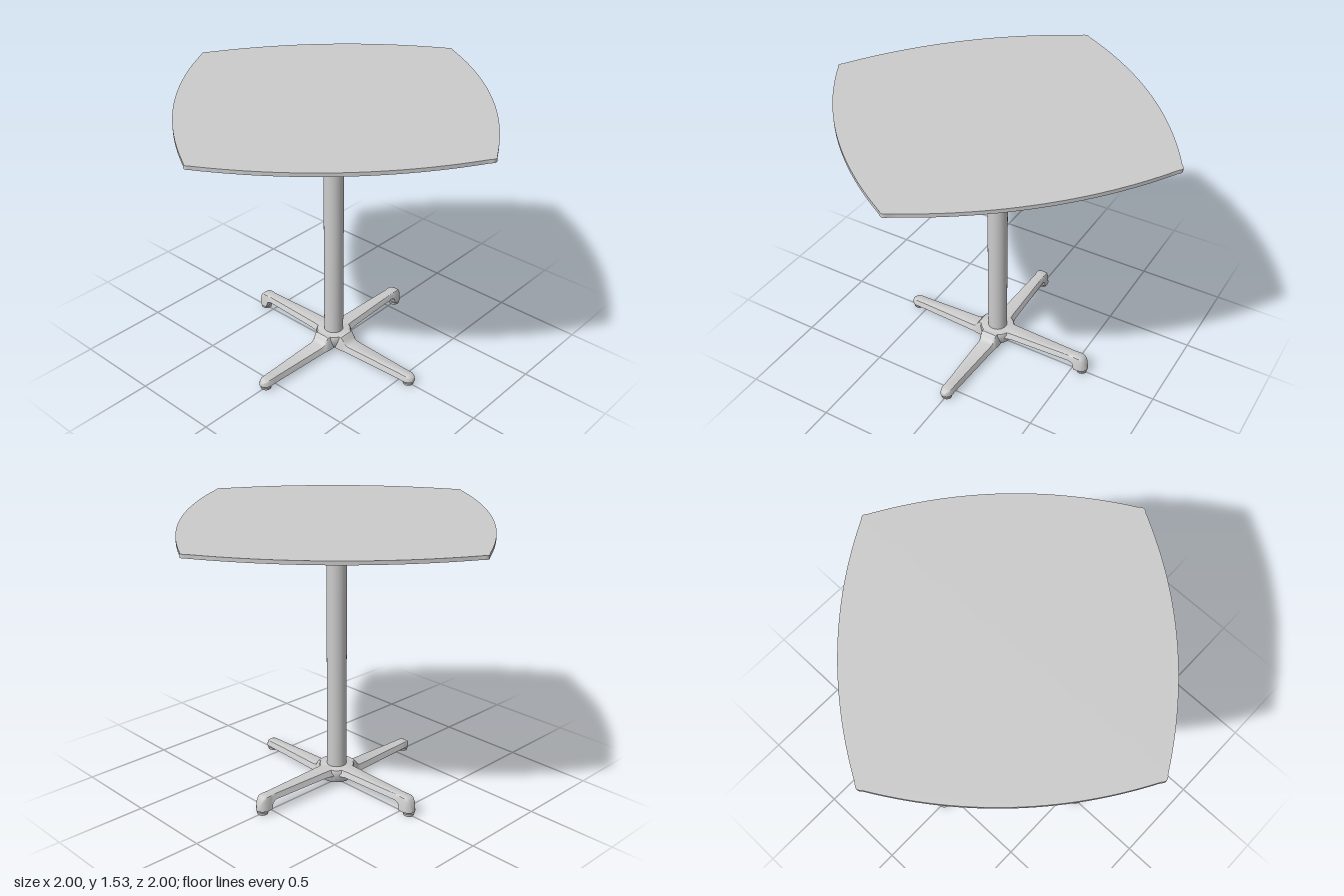
import * as THREE from 'three';
import { toCreasedNormals } from 'three/addons/utils/BufferGeometryUtils.js';

const material = new THREE.MeshStandardMaterial({ color: 0xcccccc });

function add(parent, name, geometry, x = 0, y = 0, z = 0) {
  const mesh = new THREE.Mesh(geometry, material);
  mesh.name = name;
  mesh.position.set(x, y, z);
  parent.add(mesh);
  return mesh;
}

// Tapered arm along +x with an open channel below.
// Each station: [distance, bottom, top, half width, hollow (1) or solid (0)]
function channelArm(stations, wall, flare) {
  const pos = [], index = [], n = 10;
  for (const [x, b, t, w, hollow] of stations) {
    const h = t - b, wt = w / flare, e = Math.min(0.012, h * 0.35), c = Math.min(wall, w * 0.4);
    const ceil = hollow ? t - Math.min(wall, h * 0.45) : b;
    const section = [
      [-w, b], [-wt, t - e], [-wt + e * 0.3, t - e * 0.3], [-wt * 0.65, t], [wt * 0.65, t],
      [wt - e * 0.3, t - e * 0.3], [wt, t - e], [w, b], [w - c, b], [wt - c, ceil],
      [-wt + c, ceil], [-w + c, b],
    ];
    for (const [z, y] of section) pos.push(x, y, z);
  }
  const m = n + 2;
  for (let i = 0; i < stations.length - 1; i++) {
    for (let j = 0; j < m; j++) {
      const a = i * m + j, b = i * m + (j + 1) % m;
      index.push(a, b, a + m, b, b + m, a + m);
    }
  }
  const last = (stations.length - 1) * m;
  for (let j = 1; j < m - 1; j++) index.push(last, last + j, last + j + 1);
  const g = new THREE.BufferGeometry();
  g.setAttribute('position', new THREE.Float32BufferAttribute(pos, 3));
  g.setIndex(index);
  return toCreasedNormals(g, 0.7);
}

// Four-cornered top with bowed edges and small rounded corners
function tabletopGeometry() {
  const shape = new THREE.Shape();
  const turn = (x, y, k) => {
    const a = k * Math.PI / 2, c = Math.cos(a), s = Math.sin(a);
    return [x * c - y * s, x * s + y * c];
  };
  shape.moveTo(0.986, 0.024);
  for (let k = 0; k < 4; k++) {
    shape.quadraticCurveTo(...turn(0.644, 0.644, k), ...turn(0.024, 0.986, k));
    shape.quadraticCurveTo(...turn(0, 1.012, k), ...turn(-0.024, 0.986, k));
  }
  const g = new THREE.ExtrudeGeometry(shape, { depth: 0.02, bevelEnabled: false, curveSegments: 28 });
  g.rotateX(-Math.PI / 2);
  return toCreasedNormals(g, 0.5);
}

function extrudeAcross(points, thickness, holes = []) {
  const shape = new THREE.Shape(points.map(p => new THREE.Vector2(...p)));
  for (const [x, y, r] of holes) shape.holes.push(new THREE.Path().absarc(x, y, r, 0, Math.PI * 2, true));
  const g = new THREE.ExtrudeGeometry(shape, { depth: thickness, bevelEnabled: false, curveSegments: 12 });
  return g.translate(0, 0, -thickness / 2);
}

export function createModel() {
  const model = new THREE.Group();
  model.name = 'pedestalTable';

  add(model, 'tabletop', tabletopGeometry(), 0, 1.515, 0);
  add(model, 'column', new THREE.CylinderGeometry(0.055, 0.055, 1.3, 48), 0, 0.74, 0);

  // Base hub
  const hub = [[0, 0.025], [0.086, 0.025], [0.09, 0.03], [0.1, 0.09], [0.095, 0.102], [0.08, 0.107], [0, 0.107]];
  add(model, 'hub', toCreasedNormals(new THREE.LatheGeometry(hub.map(p => new THREE.Vector2(...p)), 48), 0.7));
  for (let i = 0; i < 3; i++) {
    const a = i * Math.PI * 2 / 3;
    add(model, 'hubScrew', new THREE.CylinderGeometry(0.011, 0.011, 0.006, 16), 0.05 * Math.cos(a), 0.023, 0.05 * Math.sin(a));
  }

  // Two low legs and two raised legs, so that bases can nest
  const low = channelArm([
    [0.04, 0.025, 0.107, 0.062, 1], [0.1, 0.025, 0.106, 0.06, 1], [0.115, 0.025, 0.088, 0.058, 1],
    [0.125, 0.025, 0.07, 0.056, 1], [0.145, 0.025, 0.061, 0.054, 1], [0.5, 0.025, 0.06, 0.038, 1],
    [0.52, 0.025, 0.06, 0.038, 0], [0.56, 0.025, 0.06, 0.037, 0], [0.578, 0.025, 0.056, 0.03, 0],
    [0.59, 0.025, 0.048, 0.018, 0], [0.595, 0.026, 0.04, 0.007, 0],
  ], 0.011, 1.2);
  const high = channelArm([
    [0.04, 0.06, 0.107, 0.062, 1], [0.1, 0.07, 0.107, 0.056, 1], [0.12, 0.074, 0.107, 0.054, 1],
    [0.485, 0.074, 0.107, 0.038, 1], [0.498, 0.071, 0.107, 0.038, 0], [0.512, 0.06, 0.107, 0.038, 0],
    [0.522, 0.026, 0.107, 0.041, 0], [0.55, 0.025, 0.106, 0.041, 0], [0.565, 0.025, 0.1, 0.037, 0],
    [0.578, 0.025, 0.086, 0.03, 0], [0.588, 0.025, 0.055, 0.018, 0], [0.592, 0.025, 0.04, 0.01, 0],
  ], 0.011, 1.25);
  const legs = [['raisedLegLeft', high, 0], ['raisedLegBack', high, 1], ['lowLegRight', low, 2], ['lowLegFront', low, 3]];
  for (const [name, geometry, quarter] of legs) {
    const leg = new THREE.Group();
    leg.name = name;
    leg.rotation.y = quarter * Math.PI / 2;
    add(leg, 'legArm', geometry);
    const ribY = geometry === high ? 0.088 : 0.042;
    add(leg, 'legRib', new THREE.BoxGeometry(0.4, 0.024, 0.008), 0.29, ribY, 0);
    add(leg, 'footPad', new THREE.CylinderGeometry(0.033, 0.029, 0.016, 28), 0.557, 0.008, 0);
    add(leg, 'footStem', new THREE.CylinderGeometry(0.024, 0.024, 0.016, 24), 0.557, 0.02, 0);
    model.add(leg);
  }

  // Spider under the top
  const arm = channelArm([
    [0.03, 1.486, 1.515, 0.04, 1], [0.1, 1.488, 1.515, 0.036, 1], [0.425, 1.497, 1.515, 0.024, 1],
    [0.435, 1.497, 1.515, 0.024, 0], [0.455, 1.498, 1.515, 0.02, 0], [0.468, 1.499, 1.515, 0.012, 0],
    [0.473, 1.5, 1.515, 0.005, 0],
  ], 0.009, 1.1);
  for (let q = 0; q < 4; q++) {
    const support = new THREE.Group();
    support.name = 'topSupport';
    support.rotation.y = q * Math.PI / 2;
    add(support, 'supportArm', arm);
    add(support, 'supportScrew', new THREE.CylinderGeometry(0.01, 0.01, 0.006, 16), 0.446, 1.496, 0);
    add(support, 'supportScrew', new THREE.CylinderGeometry(0.01, 0.01, 0.016, 16), 0.15, 1.499, 0);
    model.add(support);
  }

  // Tilting bracket, set diagonally to the arms
  const bracket = new THREE.Group();
  bracket.name = 'tiltBracket';
  bracket.rotation.y = Math.PI / 4;
  add(bracket, 'mountPlate', new THREE.BoxGeometry(0.15, 0.022, 0.14), 0, 1.503, 0);
  add(bracket, 'collar', new THREE.BoxGeometry(0.145, 0.028, 0.145), 0, 1.399, 0);
  const cheek = extrudeAcross(
    [[-0.072, 1.388], [0.072, 1.388], [0.082, 1.41], [0.082, 1.482], [0.03, 1.482], [-0.072, 1.415]],
    0.014, [[0.055, 1.458, 0.007]]);
  const lug = extrudeAcross(
    [[0.0, 1.495], [0.0, 1.45], [0.04, 1.425], [0.075, 1.44], [0.078, 1.495]], 0.012);
  for (const side of [-1, 1]) {
    add(bracket, 'cheek', cheek, 0, 0, side * 0.066);
    add(bracket, 'hingeLug', lug, 0, 0, side * 0.03);
  }
  const pin = new THREE.CylinderGeometry(0.008, 0.008, 0.152, 16).rotateX(Math.PI / 2);
  add(bracket, 'hingePin', pin, 0.055, 1.458, 0);
  add(bracket, 'latchBlock', new THREE.BoxGeometry(0.04, 0.08, 0.09), -0.035, 1.452, 0);
  add(bracket, 'releaseLever', new THREE.BoxGeometry(0.03, 0.014, 0.09), -0.08, 1.405, 0);
  model.add(bracket);

  return model;
}
